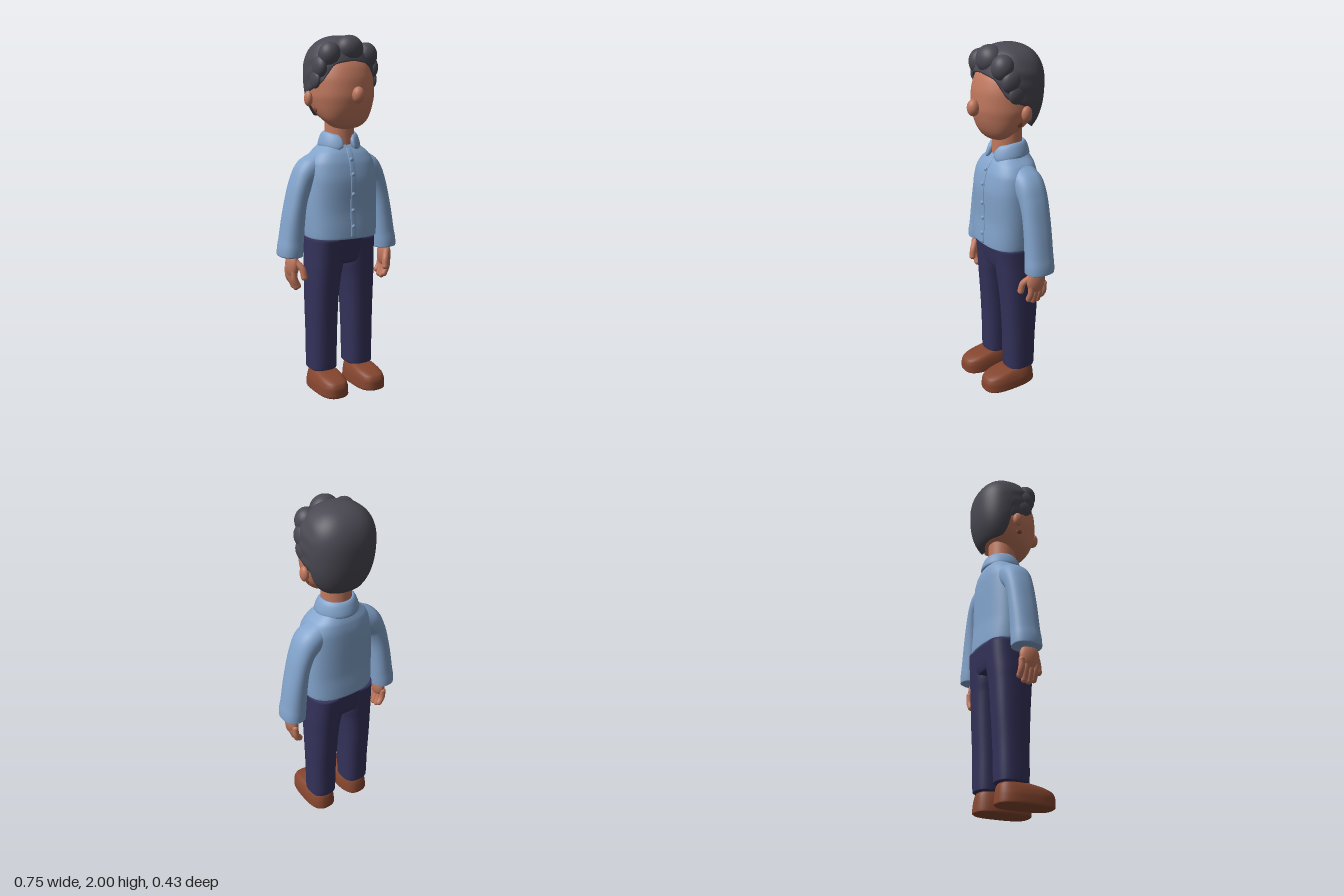
import * as THREE from 'three';

const mat = (name, color) => {
  const m = new THREE.MeshStandardMaterial({ color });
  m.name = name;
  return m;
};

// Smooth monotone interpolation of a key table whose first column is y
function sample(keys, y) {
  const last = keys.length - 1;
  let i = 0;
  while (i < last - 1 && y > keys[i + 1][0]) i++;
  const slope = (k, c) => (keys[k + 1][c] - keys[k][c]) / (keys[k + 1][0] - keys[k][0]);
  const tangent = (k, c) => {
    if (k === 0) return slope(0, c);
    if (k === last) return slope(last - 1, c);
    const a = slope(k - 1, c), b = slope(k, c);
    return a * b <= 0 ? 0 : (2 * a * b) / (a + b);
  };
  const h = keys[i + 1][0] - keys[i][0], t = (y - keys[i][0]) / h;
  return keys[i].map((v, c) => c === 0 ? y :
    v * (1 + 2 * t) * (1 - t) ** 2 + keys[i + 1][c] * t * t * (3 - 2 * t) +
    h * (tangent(i, c) * t * (1 - t) ** 2 + tangent(i + 1, c) * t * t * (t - 1)));
}

// Skin over closed rings of points, capped at both ends
function skin(rings) {
  const n = rings[0].length, pos = [], idx = [];
  rings.forEach(r => r.forEach(p => pos.push(p.x, p.y, p.z)));
  for (let i = 0; i < rings.length - 1; i++) {
    for (let j = 0; j < n; j++) {
      const a = i * n + j, b = i * n + (j + 1) % n;
      idx.push(a, b, b + n, a, b + n, a + n);
    }
  }
  [0, rings.length - 1].forEach(i => {
    const c = rings[i].reduce((s, p) => s.add(p), new THREE.Vector3()).divideScalar(n);
    const centre = pos.length / 3;
    pos.push(c.x, c.y, c.z);
    for (let j = 0; j < n; j++) {
      const a = i * n + j, b = i * n + (j + 1) % n;
      if (i === 0) idx.push(centre, b, a); else idx.push(centre, a, b);
    }
  });
  const g = new THREE.BufferGeometry();
  g.setAttribute('position', new THREE.Float32BufferAttribute(pos, 3));
  g.setIndex(idx);
  g.computeVertexNormals();
  return g;
}

const power = (v, n) => Math.sign(v) * Math.abs(v) ** (2 / n);

// Loft of rounded sections; key = [y, centreX, halfWidth, frontZ, backZ, tilt]
function loft(keys, { n = 2.4, side = 1, segments = 40, steps = 5 } = {}) {
  const rings = [];
  const ring = y => {
    const [, cx, rx, zf, zb, tilt = 0] = sample(keys, y);
    rings.push(Array.from({ length: segments }, (_, j) => {
      const a = j / segments * Math.PI * 2, u = power(Math.sin(a), n) * rx;
      return new THREE.Vector3(side * cx + u * Math.cos(tilt), y + side * u * Math.sin(tilt),
        (zf + zb) / 2 + power(Math.cos(a), n) * (zf - zb) / 2);
    }));
  };
  for (let i = 0; i < keys.length - 1; i++)
    for (let s = 0; s < steps; s++) ring(keys[i][0] + (keys[i + 1][0] - keys[i][0]) * s / steps);
  ring(keys[keys.length - 1][0]);
  return skin(rings);
}

// Hair cap whose lower edge follows a hairline around the head
function hairCap() {
  const hairline = [[0, 1.86], [0.5, 1.84], [0.75, 1.79], [0.95, 1.745], [1.5, 1.7], [1.7, 1.68],
    [1.8, 1.61], [2, 1.572], [2.4, 1.562], [3.15, 1.56]];
  const rings = [], n = 96, rows = 28;
  for (let i = -1; i <= rows; i++) {
    rings.push(Array.from({ length: n }, (_, j) => {
      const a = j / n * Math.PI * 2, around = Math.min(a, Math.PI * 2 - a);
      const low = sample(hairline, around)[1];
      const t = Math.max(i, 0) / rows;
      const y = low + (2 - low) * Math.sin(t * Math.PI / 2);
      const d = y > 1.8 ? (y - 1.8) / 0.2 : (1.8 - y) / 0.3;
      let r = Math.max(0, 1 - Math.min(d, 1) ** 2.3) ** (1 / 2.3);
      const wave = Math.sin(a) ** 2 * Math.max(0, Math.cos(a) + 0.5);
      r *= 1 + 0.018 * wave * Math.sin(y * 85 + around * 4);
      if (i === -1) r *= 0.84;
      return new THREE.Vector3(power(Math.sin(a), 2.3) * 0.195 * r, y + (i === -1 ? 0.012 : 0),
        -0.0375 + power(Math.cos(a), 2.3) * 0.177 * r);
    }));
  }
  return skin(rings);
}

// Folded collar band swept round the neck, open at the front
function collarBand() {
  const rings = [], count = 60, gap = 0.3;
  for (let i = 0; i <= count; i++) {
    const a = gap + (Math.PI * 2 - 2 * gap) * i / count;
    const front = Math.max(0, Math.cos(a)) ** 1.5;
    const end = Math.min(1, 0.55 + Math.min(i, count - i) / 5);
    rings.push(Array.from({ length: 16 }, (_, j) => {
      const b = j / 16 * Math.PI * 2;
      const up = power(Math.cos(b), 2.6) * 0.042 * end;
      const r = 0.1 + Math.sin(b) * 0.014 - up * 0.32;
      return new THREE.Vector3(Math.sin(a) * r, 1.437 - 0.022 * front + up, -0.033 + Math.cos(a) * r);
    }));
  }
  return skin(rings);
}

export function createModel() {
  const model = new THREE.Group();
  model.name = 'standingMan';
  const skinTone = mat('skin', 0xbf775d), hairTone = mat('hair', 0x4a4852);
  const shirt = mat('shirt', 0x82a3cb), denim = mat('trousers', 0x34325a), leather = mat('leather', 0x85462f);

  const add = (name, geometry, material) => {
    const m = new THREE.Mesh(geometry, material);
    m.name = name;
    model.add(m);
    return m;
  };
  const ball = (name, material, p, r) => {
    const m = add(name, new THREE.SphereGeometry(1, 32, 20), material);
    m.position.set(...p);
    m.scale.set(...r);
    return m;
  };
  const digit = (name, points, r) => {
    const curve = new THREE.CatmullRomCurve3(points.map(p => new THREE.Vector3(...p)));
    add(name, new THREE.TubeGeometry(curve, 10, r, 14), skinTone);
    [points[0], points[points.length - 1]].forEach(p => ball(name + 'Tip', skinTone, p, [r, r, r]));
  };

  // Head and face
  add('head', loft([[1.495, 0, 0.03, 0.065, 0.02], [1.505, 0, 0.075, 0.09, 0], [1.53, 0, 0.115, 0.115, -0.03],
    [1.57, 0, 0.148, 0.138, -0.1], [1.62, 0, 0.17, 0.155, -0.16], [1.68, 0, 0.183, 0.165, -0.19],
    [1.75, 0, 0.182, 0.162, -0.195], [1.82, 0, 0.17, 0.145, -0.19], [1.88, 0, 0.145, 0.11, -0.165],
    [1.94, 0, 0.08, 0.05, -0.09], [1.955, 0, 0.02, 0, -0.04]], { n: 2.1, segments: 56 }), skinTone);
  ball('nose', skinTone, [0, 1.68, 0.18], [0.034, 0.045, 0.034]);
  add('neck', new THREE.CylinderGeometry(0.08, 0.086, 0.2, 40), skinTone).position.set(0, 1.47, -0.03);

  // Hair with curls along the front
  add('hair', hairCap(), hairTone);
  ball('frontCurl', hairTone, [0, 1.922, 0.08], [0.08, 0.076, 0.068]);

  // Shirt
  add('shirtBody', loft([[0.885, 0, 0.185, 0.11, -0.155], [0.893, 0, 0.204, 0.133, -0.174],
    [0.94, 0, 0.207, 0.132, -0.172], [1.05, 0, 0.209, 0.126, -0.165], [1.2, 0, 0.205, 0.13, -0.165],
    [1.3, 0, 0.195, 0.115, -0.163], [1.36, 0, 0.165, 0.09, -0.155], [1.4, 0, 0.12, 0.06, -0.14],
    [1.44, 0, 0.085, 0.03, -0.12]], { n: 2.6, segments: 56 }), shirt);
  add('collar', collarBand(), shirt);
  add('placket', loft([[0.9, 0, 0.016, 0.137, 0.12], [0.94, 0, 0.016, 0.136, 0.12], [1.05, 0, 0.016, 0.13, 0.115],
    [1.2, 0, 0.016, 0.134, 0.12], [1.3, 0, 0.016, 0.119, 0.1], [1.36, 0, 0.016, 0.094, 0.08],
    [1.39, 0, 0.014, 0.071, 0.05]], { n: 4, segments: 16 }), shirt);
  [[0.96, 0.134], [1.05, 0.13], [1.14, 0.133], [1.25, 0.13], [1.33, 0.109]].forEach(([y, z]) =>
    ball('button', shirt, [0, y, z], [0.012, 0.012, 0.008]));

  // Trouser seat
  add('hips', loft([[0.735, 0, 0.17, 0.05, -0.12], [0.75, 0, 0.194, 0.078, -0.152], [0.8, 0, 0.2, 0.09, -0.162],
    [0.9, 0, 0.197, 0.105, -0.168]], { n: 2.8 }), denim);

  for (const s of [1, -1]) {
    // Ear, ear stud and side curls
    ball('ear', skinTone, [s * 0.193, 1.66, -0.028], [0.022, 0.042, 0.03]);
    ball('earStud', leather, [s * 0.162, 1.602, -0.004], [0.007, 0.018, 0.017]);
    ball('sideCurl', hairTone, [s * 0.113, 1.892, 0.068], [0.062, 0.07, 0.062]);
    ball('templeCurl', hairTone, [s * 0.158, 1.827, 0.04], [0.036, 0.062, 0.06]);
    ball('sideburn', hairTone, [s * 0.176, 1.762, 0.02], [0.021, 0.05, 0.05]);

    // Sleeve
    add('sleeve', loft([[0.79, 0.307, 0.058, 0.02, -0.115, 0.05], [0.797, 0.307, 0.067, 0.036, -0.13, 0.05],
      [0.83, 0.305, 0.068, 0.037, -0.131, 0.08], [0.89, 0.297, 0.065, 0.033, -0.129, 0.1],
      [1, 0.283, 0.06, 0.031, -0.128, 0.12], [1.1, 0.265, 0.056, 0.031, -0.128, 0.18],
      [1.2, 0.233, 0.06, 0.034, -0.13, 0.4], [1.27, 0.18, 0.075, 0.04, -0.132, 0.8],
      [1.31, 0.1, 0.075, 0.035, -0.125, 1.1]], { n: 2.3, side: s }).applyMatrix4(new THREE.Matrix4()), shirt);

    // Hand
    ball('palm', skinTone, [s * 0.303, 0.745, -0.028], [0.032, 0.075, 0.058]);
    [0.005, -0.022, -0.05, -0.077].forEach((z, i) => {
      const tip = [0.63, 0.617, 0.62, 0.64][i];
      digit('finger', [[s * 0.308, 0.72, z], [s * 0.303, 0.67, z], [s * 0.284, tip, z]], 0.0175);
    });
    digit('thumb', [[s * 0.295, 0.765, 0.01], [s * 0.272, 0.73, 0.038], [s * 0.265, 0.685, 0.047]], 0.0185);

    // Trouser leg
    add('trouserLeg', loft([[0.113, 0.118, 0.072, 0.043, -0.115], [0.122, 0.118, 0.081, 0.053, -0.125],
      [0.3, 0.117, 0.083, 0.056, -0.13], [0.5, 0.115, 0.087, 0.065, -0.142], [0.65, 0.109, 0.094, 0.077, -0.15],
      [0.73, 0.102, 0.101, 0.084, -0.157], [0.8, 0.1, 0.1, 0.09, -0.162], [0.89, 0.1, 0.098, 0.1, -0.167]],
      { n: 2.6, side: s }), denim);

    // Shoe
    add('shoe', loft([[0, 0.121, 0.078, 0.193, -0.114], [0.01, 0.121, 0.087, 0.204, -0.125],
      [0.05, 0.121, 0.085, 0.204, -0.122], [0.08, 0.12, 0.079, 0.194, -0.118], [0.1, 0.119, 0.071, 0.155, -0.113],
      [0.118, 0.118, 0.06, 0.06, -0.1]], { n: 2.8, side: s }), leather);
  }
  return model;
}
